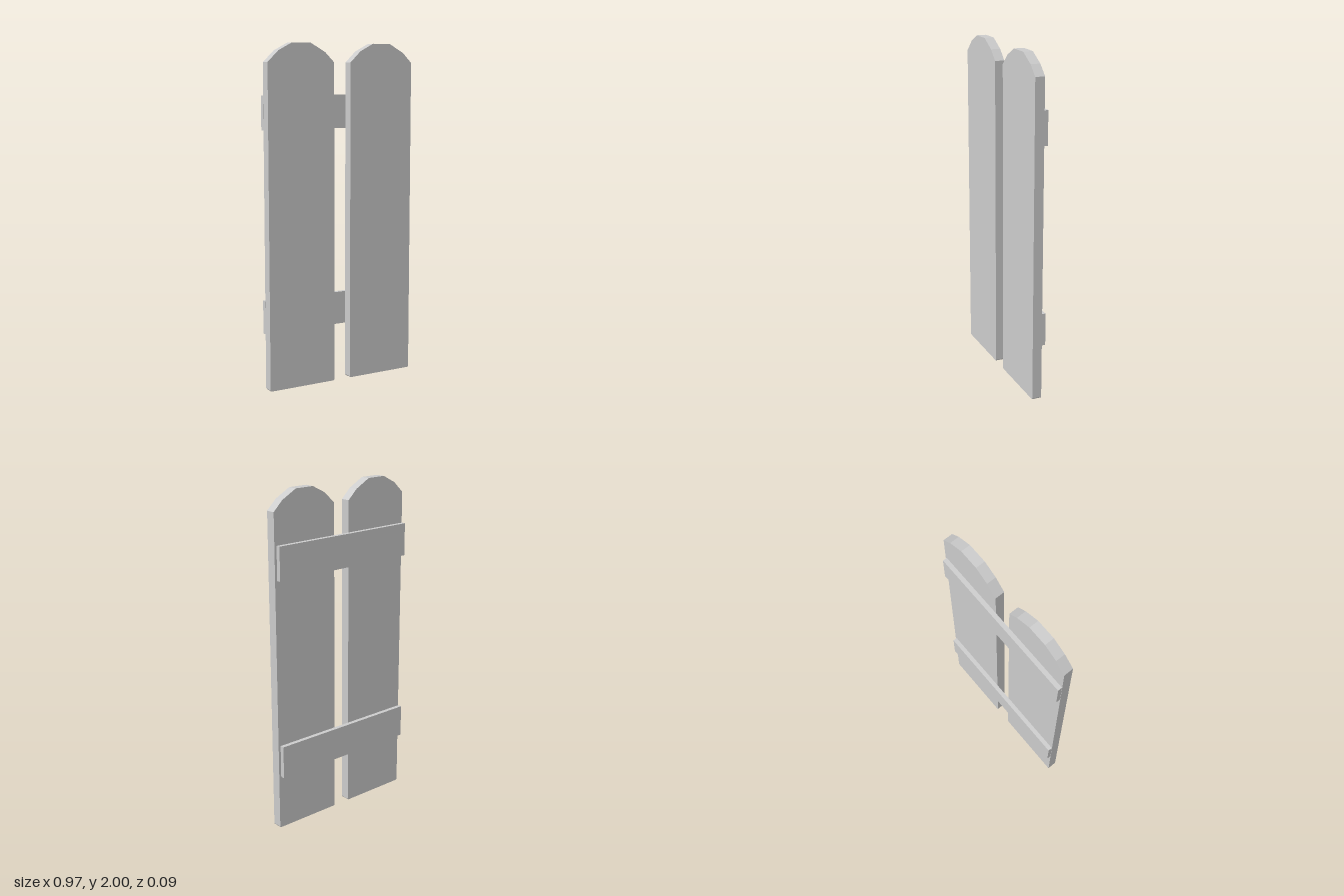
import * as THREE from 'three';

export function createModel() {
  const group = new THREE.Group();
  const material = new THREE.MeshStandardMaterial({ color: 0xcccccc, flatShading: true });

  // Picket outline: faceted rounded top, tiny chamfers on the bottom corners
  const outline = [
    [-0.21, 0], [0.21, 0], [0.215, 0.007], [0.215, 1.89], [0.155, 1.948],
    [0.06, 2], [-0.06, 2], [-0.147, 1.955], [-0.215, 1.89], [-0.215, 0.007],
  ];
  const shape = new THREE.Shape(outline.map(([x, y]) => new THREE.Vector2(x, y)));
  const picketGeometry = new THREE.ExtrudeGeometry(shape, { depth: 0.057, bevelEnabled: false });
  for (const [name, x] of [['rightPicket', -0.27], ['leftPicket', 0.27]]) {
    const picket = new THREE.Mesh(picketGeometry, material);
    picket.name = name;
    picket.position.set(x, 0, -0.015);
    group.add(picket);
  }

  // Two rails across the back, stopping just short of the left edge
  const railGeometry = new THREE.BoxGeometry(0.957, 0.196, 0.026);
  for (const [name, y] of [['lowerRail', 0.427], ['upperRail', 1.607]]) {
    const rail = new THREE.Mesh(railGeometry, material);
    rail.name = name;
    rail.position.set(-0.0065, y, -0.03);
    group.add(rail);
  }
  return group;
}
